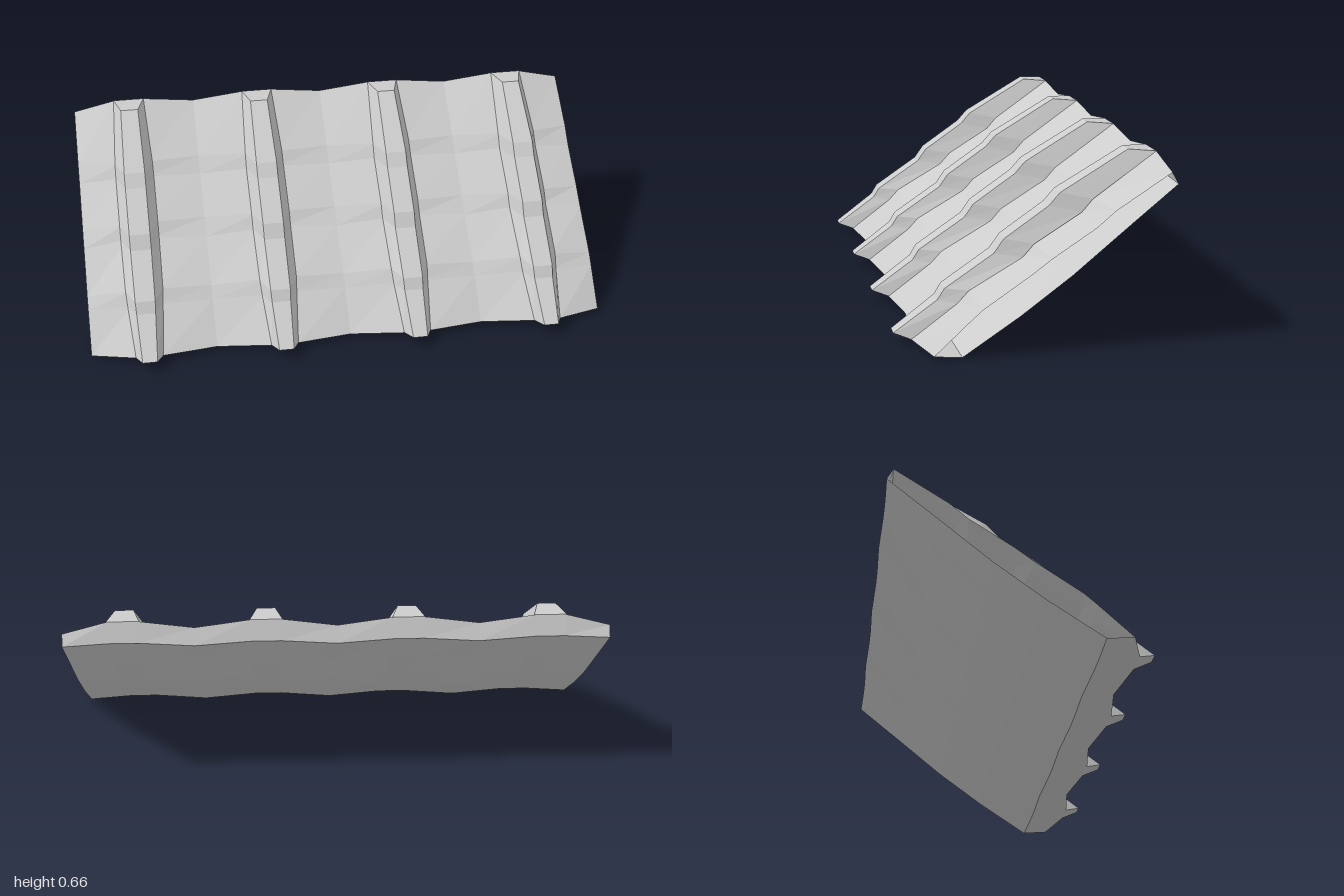
import * as THREE from 'three';

// Profiles are lists of [z, y] points running from the low front to the high back.
const PEAK_TOP = [[0.42, 0.025], [0.26, 0.15], [0.22, 0.195], [0.03, 0.305], [-0.01, 0.35], [-0.18, 0.455], [-0.22, 0.5], [-0.45, 0.657]];
const END_TOP = [[0.37, 0.015], [0.24, 0.135], [0.2, 0.17], [0.035, 0.28], [-0.04, 0.335], [-0.195, 0.435], [-0.26, 0.49], [-0.456, 0.615]];
const PEAK_BOTTOM = [[0.28, 0.015], [0.07, 0.15], [-0.11, 0.28], [-0.3, 0.435], [-0.475, 0.582]];
const VALLEY_BOTTOM = [[0.27, 0.002], [0.07, 0.135], [-0.11, 0.268], [-0.3, 0.425], [-0.48, 0.57]];
const RIB_TOP = [[0.48, 0.045], [0.325, 0.158], [0.3, 0.198], [0.125, 0.315], [0.09, 0.365], [-0.07, 0.475], [-0.11, 0.52], [-0.355, 0.663]];
const RIB_CENTERS = [-0.78, -0.26, 0.26, 0.78];

const material = new THREE.MeshStandardMaterial({ color: 0xcccccc, flatShading: true, side: THREE.DoubleSide });

const blend = (a, b, t) => a.map((p, i) => [p[0] + (b[i][0] - p[0]) * t, p[1] + (b[i][1] - p[1]) * t]);
const place = (x, profile) => profile.map(([z, y]) => [x, y, z]);

// Joins neighbouring columns of points with quads.
function addGrid(out, columns) {
  for (let i = 0; i + 1 < columns.length; i++) {
    const l = columns[i], r = columns[i + 1];
    for (let j = 0; j + 1 < l.length; j++) {
      out.push(...l[j], ...r[j], ...r[j + 1], ...l[j], ...r[j + 1], ...l[j + 1]);
    }
  }
}

function makeMesh(name, positions) {
  const geometry = new THREE.BufferGeometry();
  geometry.setAttribute('position', new THREE.Float32BufferAttribute(positions, 3));
  geometry.computeVertexNormals();
  const mesh = new THREE.Mesh(geometry, material);
  mesh.name = name;
  return mesh;
}

// Hollow wavy panel, open at both ends: a loop of top and bottom profiles at each x.
function makePanel() {
  const section = (x, dropTop, dropBottom) => {
    const top = blend(PEAK_TOP, END_TOP, dropTop);
    const bottom = blend(PEAK_BOTTOM, VALLEY_BOTTOM, dropBottom);
    return place(x, [...top, ...bottom.reverse(), top[0]]);
  };
  const columns = [section(-1, 1, 0.7)];
  RIB_CENTERS.forEach((c, i) => {
    columns.push(section(c - 0.055, 0, 0), section(c + 0.055, 0, 0));
    if (i < 3) columns.push(section(c + 0.26, 0.62, 1));
  });
  columns.push(section(1, 1, 0.7));
  const out = [];
  addGrid(out, columns);
  return makeMesh('panel', out);
}

// Stepped rib with sloping sides, narrowing at both ends.
function makeRib(center) {
  const baseHalf = [0.052, 0.068, 0.072, 0.075, 0.075, 0.075, 0.074, 0.06];
  const topHalf = [0.028, 0.036, 0.038, 0.04, 0.04, 0.04, 0.04, 0.034];
  const edge = (profile, half, side) => profile.map(([z, y], i) => [center + side * half[i], y, z]);
  const bl = edge(PEAK_TOP, baseHalf, -1), br = edge(PEAK_TOP, baseHalf, 1);
  const tl = edge(RIB_TOP, topHalf, -1), tr = edge(RIB_TOP, topHalf, 1);
  const n = RIB_TOP.length - 1;
  const out = [];
  addGrid(out, [bl, tl, tr, br]);
  addGrid(out, [[bl[0], tl[0]], [br[0], tr[0]]]); // front end
  addGrid(out, [[tl[n], bl[n]], [tr[n], br[n]]]); // back slope
  return makeMesh('rib', out);
}

export function createModel() {
  const group = new THREE.Group();
  group.name = 'ribbedRoofPanel';
  group.add(makePanel(), ...RIB_CENTERS.map(makeRib));
  return group;
}
